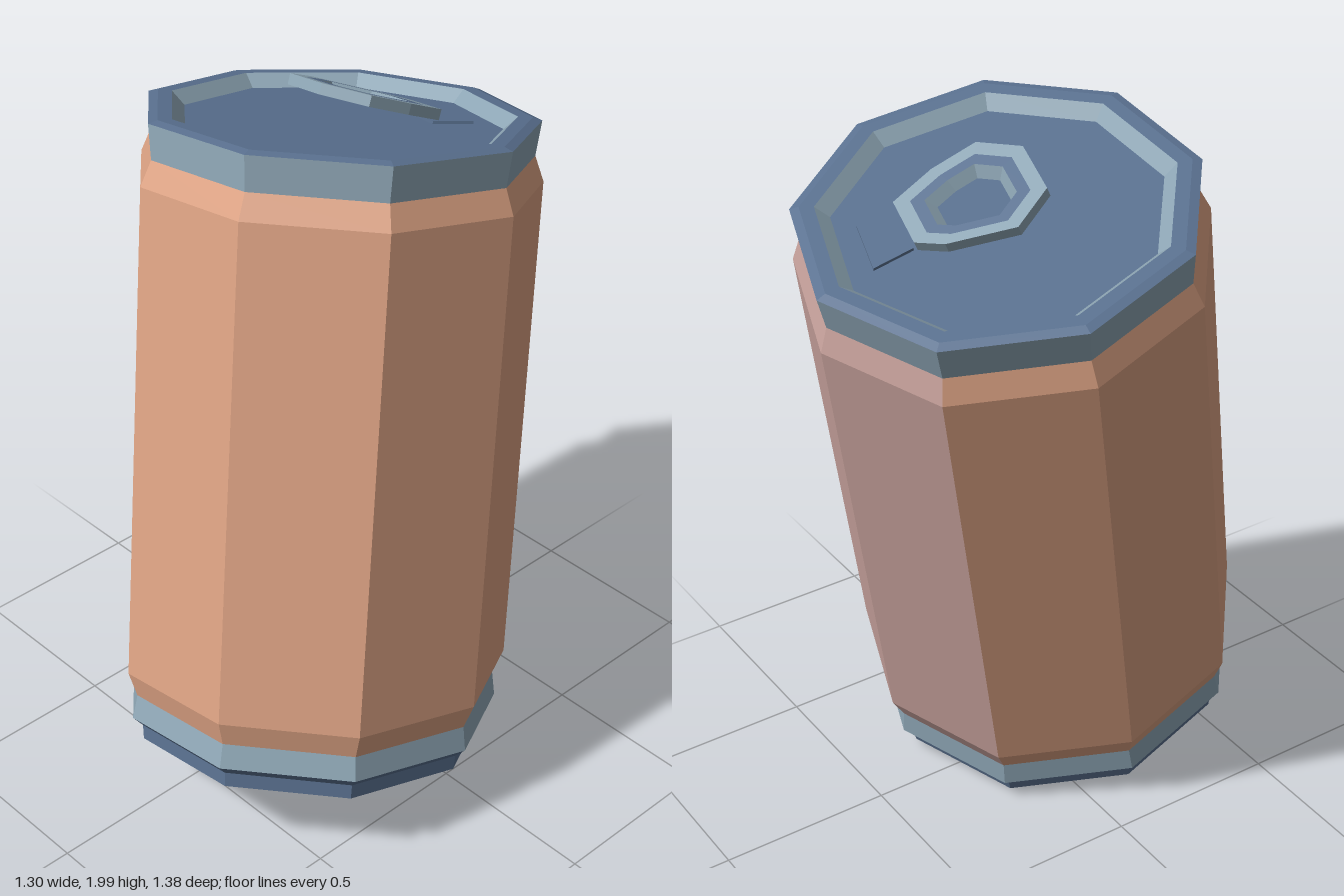
import * as THREE from 'three';

const SIDES = 9;
const STEP = (Math.PI * 2) / SIDES;

function paint(name, color) {
  const m = new THREE.MeshStandardMaterial({ color });
  m.name = name;
  return m;
}

// Give every face its own flat normal
function faceted(geometry) {
  const g = geometry.index ? geometry.toNonIndexed() : geometry;
  g.computeVertexNormals();
  return g;
}

// Nine-sided turned part; first and count pick a run of facets
function turned(name, profile, material, first = 0, count = SIDES) {
  const points = profile.map(([r, y]) => new THREE.Vector2(r, y));
  const g = new THREE.LatheGeometry(points, count, Math.PI + first * STEP, count * STEP);
  const mesh = new THREE.Mesh(faceted(g), material);
  mesh.name = name;
  return mesh;
}

// Skin between scaled copies of an outline, each given as [scale, height]
function loft(name, outline, rings, material) {
  const pos = [];
  const at = ([s, h], i) => {
    const [x, z] = outline[i % outline.length];
    return [x * s, h, z * s];
  };
  for (let k = 0; k + 1 < rings.length; k++) {
    const a = rings[k], b = rings[k + 1];
    for (let i = 0; i < outline.length; i++) {
      pos.push(...at(a, i + 1), ...at(a, i), ...at(b, i));
      pos.push(...at(a, i + 1), ...at(b, i), ...at(b, i + 1));
    }
  }
  const g = new THREE.BufferGeometry();
  g.setAttribute('position', new THREE.Float32BufferAttribute(pos, 3));
  const mesh = new THREE.Mesh(faceted(g), material);
  mesh.name = name;
  return mesh;
}

export function createModel() {
  const orange = paint('orange paint', 0xdca283);
  const pink = paint('pink paint', 0xcaa49e);
  const steel = paint('light steel', 0x8ea6b5);
  const blue = paint('dark blue steel', 0x5a7190);

  const can = new THREE.Group();
  can.name = 'can';

  // Base foot and bevel
  can.add(turned('base', [[0, 0], [0.507, 0], [0.511, 0.043], [0.541, 0.07]], blue));
  can.add(turned('lowerBand', [[0.541, 0.07], [0.53, 0.14]], steel));

  // Painted body with sloping shoulders; two rear facets are pink
  const body = [[0.53, 0.14], [0.558, 0.212], [0.558, 1.615], [0.53, 1.685]];
  can.add(turned('body', body, orange, 1, 7));
  can.add(turned('rearPanel', body, pink, -1, 2));

  // Upper band, rim and recessed lid
  can.add(turned('upperBand', [[0.53, 1.685], [0.541, 1.782]], steel));
  can.add(turned('rim', [[0.541, 1.782], [0.515, 1.79], [0.475, 1.79]], blue));
  can.add(turned('lidSlope', [[0.475, 1.79], [0.438, 1.755]], steel));
  can.add(turned('lid', [[0.438, 1.755], [0, 1.755]], blue));

  // Opening flap behind the tab
  const flapOutline = [[-0.07, -0.08], [0.1, -0.025], [0.04, 0.07], [-0.07, 0.04]];
  const flap = loft('openingFlap', flapOutline, [[1, 0], [1, 0.008], [0, 0.008]], blue);
  flap.position.set(0.1, 1.755, -0.28);
  can.add(flap);

  // Raised pull tab: steel edge, blue inset face, hole with sloping walls
  const tabOutline = [
    [0, -0.187], [0.158, -0.147], [0.168, -0.015], [0.147, 0.117],
    [0.033, 0.19], [-0.132, 0.147], [-0.176, 0.022], [-0.07, -0.136],
  ];
  const tab = new THREE.Group();
  tab.name = 'pullTab';
  tab.add(loft('tabEdge', tabOutline, [[0.48, -0.03], [1, -0.03], [1, 0], [0.78, 0]], steel));
  tab.add(loft('tabFace', tabOutline, [[0.78, 0], [0.6, 0]], blue));
  tab.add(loft('tabHole', tabOutline, [[0.6, 0], [0.48, -0.03]], steel));
  tab.position.set(0.015, 1.84, -0.063);
  tab.rotation.x = -0.255;
  can.add(tab);

  // Lean the whole can
  const axis = new THREE.Vector3(-0.1414, 0.9687, -0.2034).normalize();
  can.quaternion.setFromUnitVectors(new THREE.Vector3(0, 1, 0), axis);
  can.position.set(0.134, 0.129, 0.205);

  const model = new THREE.Group();
  model.name = 'leaningCan';
  model.add(can);
  return model;
}
